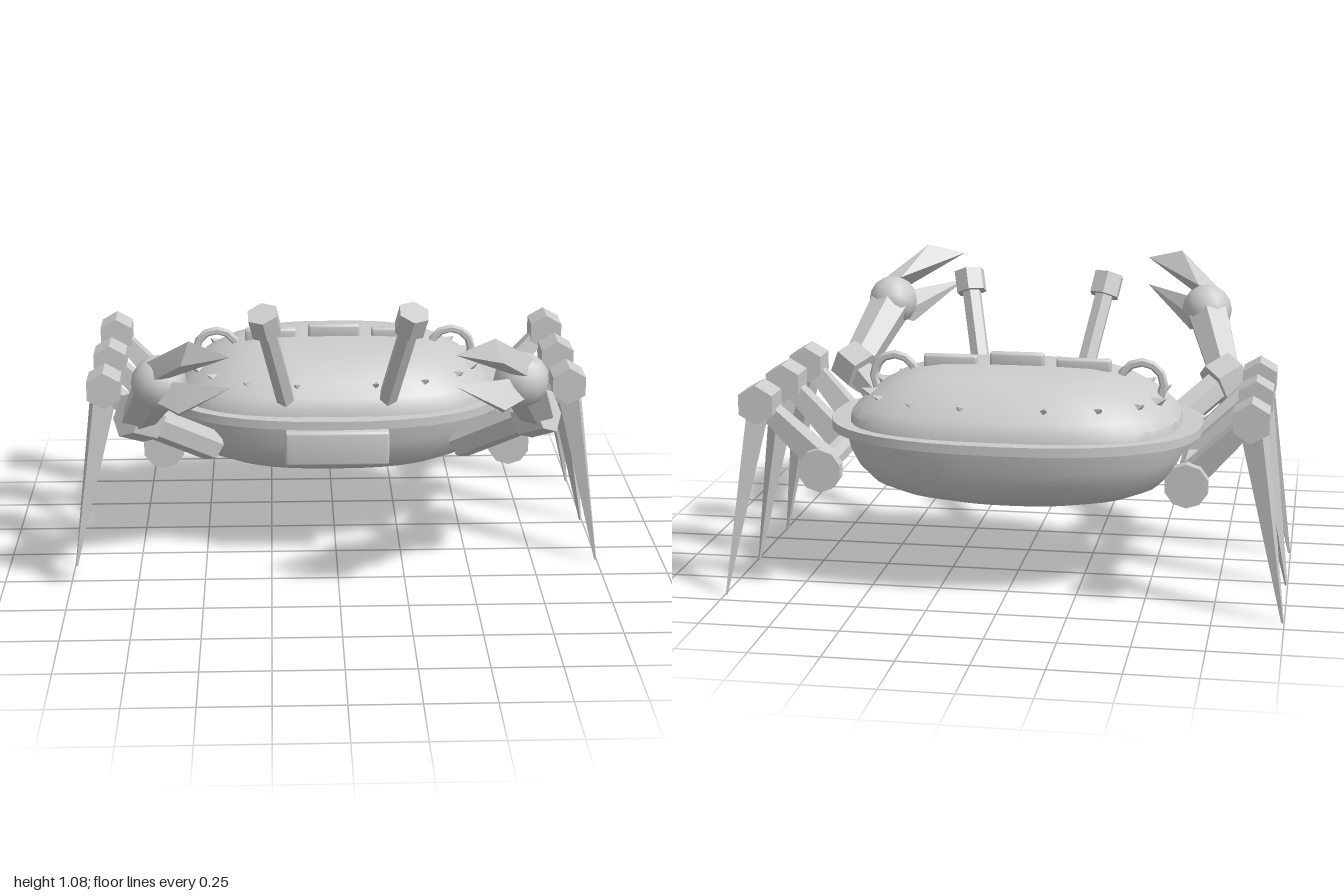
import * as THREE from 'three';
import { toCreasedNormals } from 'three/addons/utils/BufferGeometryUtils.js';
import { ConvexGeometry } from 'three/addons/geometries/ConvexGeometry.js';
import { RoundedBoxGeometry } from 'three/addons/geometries/RoundedBoxGeometry.js';

const V = (x, y, z) => new THREE.Vector3(x, y, z);
const CZ = -0.275; // z of the body's centre
const UP = V(0, 1, 0);

export function createModel() {
  const model = new THREE.Group();
  const grey = new THREE.MeshStandardMaterial({ color: 0xcccccc });
  grey.name = 'shellGrey';

  const add = (name, geo, crease = 0.5) => {
    const mesh = new THREE.Mesh(crease ? toCreasedNormals(geo, crease) : geo, grey);
    mesh.name = name;
    model.add(mesh);
    return mesh;
  };

  // Tapered prism from point a to point b
  const strut = (name, a, b, ra, rb, sides = 6, turn = 0) => {
    const d = b.clone().sub(a);
    const geo = new THREE.CylinderGeometry(rb, ra, d.length(), sides);
    geo.rotateY(turn);
    const mesh = add(name, geo);
    mesh.position.copy(a).add(b).multiplyScalar(0.5);
    mesh.quaternion.setFromUnitVectors(UP, d.normalize());
    return mesh;
  };

  // Stack of rounded-oval rings, each [half width, half depth, y], bottom to top
  const ovalLoft = (rings, power, seg = 40) => {
    const pos = [], idx = [];
    const bend = (v) => Math.sign(v) * Math.abs(v) ** (2 / power);
    rings.forEach(([w, d, y], j) => {
      for (let i = 0; i < seg; i++) {
        const t = (i / seg) * Math.PI * 2;
        pos.push(w * bend(Math.cos(t)), y, CZ + d * bend(Math.sin(t)));
        if (j === rings.length - 1) continue;
        const a = j * seg + i, b = j * seg + ((i + 1) % seg);
        idx.push(a, a + seg, b, b, a + seg, b + seg);
      }
    });
    const geo = new THREE.BufferGeometry();
    geo.setAttribute('position', new THREE.Float32BufferAttribute(pos, 3));
    geo.setIndex(idx);
    geo.computeVertexNormals();
    return geo;
  };

  // Body: lower hull, thin rim and domed shell
  add('hull', ovalLoft([[0, 0, 0.315], [0.31, 0.2, 0.315], [0.45, 0.28, 0.345], [0.53, 0.33, 0.378],
    [0.58, 0.365, 0.43], [0.61, 0.39, 0.49], [0.63, 0.405, 0.568]], 2.5), 0);
  add('rim', ovalLoft([[0.55, 0.35, 0.565], [0.68, 0.452, 0.565], [0.68, 0.452, 0.598], [0.55, 0.35, 0.598]], 2.35));
  const dome = [[1, 0.59], [0.99, 0.628], [0.94, 0.66], [0.85, 0.705], [0.72, 0.75], [0.6, 0.775],
    [0.45, 0.788], [0.25, 0.792], [0, 0.793]];
  add('domeShell', ovalLoft(dome.map(([f, y]) => [0.605 * f, 0.4 * f, y]), 2.8), 0.6);

  // Front plate
  add('frontPlate', new RoundedBoxGeometry(0.39, 0.135, 0.06, 2, 0.012)).position.set(0, 0.48, 0.125);

  // Ridge bars along the top
  [[0, 0.2, 0.81], [0.245, 0.2, 0.795], [-0.245, 0.2, 0.795]].forEach(([x, w, y]) =>
    add('ridgeBar', new RoundedBoxGeometry(w, 0.055, 0.036, 2, 0.01)).position.set(x, y, CZ));

  for (const s of [1, -1]) {
    const P = (x, y, z) => V(s * x, y, z);

    // Ring at each end of the ridge
    add('ridgeRing', new THREE.TorusGeometry(0.08, 0.016, 6, 12)).position.set(s * 0.455, 0.735, CZ);

    // Spikes around the dome
    for (const [x, z] of [[0.145, 0.33], [0.328, 0.295], [0.46, 0.21], [0.525, 0.105]]) {
      for (const f of [1, -1]) {
        const n = V(s * x * 1.1, 0.3, f * z * 1.4).normalize();
        const p = P(x, 0.695, CZ + f * z);
        strut('spike', p.clone().addScaledVector(n, -0.03), p.clone().addScaledVector(n, 0.035), 0.034, 0.001, 4);
      }
    }

    // Eye stalk and head
    const base = P(0.18, 0.6, 0.055), top = P(0.267, 1.01, 0.235);
    const axis = top.clone().sub(base).normalize();
    strut('eyeStalk', base, top, 0.037, 0.037);
    strut('eyeHead', top.clone().addScaledVector(axis, -0.05), top.clone().addScaledVector(axis, 0.035), 0.06, 0.06);

    // Hip rail with end discs
    strut('hipRail', P(0.648, 0.47, -0.63), P(0.648, 0.47, 0.06), 0.042, 0.042, 8, Math.PI / 8);
    for (const z of [-0.655, 0.042]) {
      strut('railDisc', P(0.65, 0.465, z), P(0.65, 0.465, z + 0.045), 0.078, 0.078, 10);
    }

    // Legs: hip z, knee z, foot z
    for (const [hip, knee, foot] of [[-0.02, 0.045, 0.115], [CZ, CZ, CZ], [-0.56, -0.62, -0.69]]) {
      strut('upperLeg', P(0.64, 0.46, hip), P(0.865, 0.7, knee), 0.062, 0.04, 4, Math.PI / 4);
      const joint = add('knee', new THREE.CylinderGeometry(0.071, 0.071, 0.122, 6).rotateY(Math.PI / 6).rotateX(Math.PI / 2));
      joint.position.set(s * 0.868, 0.702, knee);
      joint.rotation.z = Math.PI / 6;
      strut('lowerLeg', P(0.873, 0.69, knee), P(0.995, 0, foot), 0.056, 0.005, 4);
    }

    // Claw arm
    const elbow = P(0.73, 0.65, 0.24), wrist = P(0.635, 0.87, 0.5);
    const out = V(s * 0.75, 0.4, 0.52).normalize();
    strut('clawArm', P(0.47, 0.45, 0.02), elbow, 0.06, 0.06);
    strut('elbow', elbow.clone().addScaledVector(out, -0.06), elbow.clone().addScaledVector(out, 0.05), 0.088, 0.088);
    strut('forearm', elbow, wrist, 0.065, 0.088);
    add('wristBall', new THREE.SphereGeometry(0.098, 12, 8), 0).position.copy(wrist);
    add('upperPincer', new ConvexGeometry([P(0.38, 1.035, 0.722), P(0.52, 1.075, 0.667), P(0.55, 0.99, 0.68),
      P(0.68, 0.95, 0.52), P(0.6, 0.965, 0.5), P(0.6, 0.91, 0.57), P(0.67, 0.89, 0.56)]));
    add('lowerPincer', new ConvexGeometry([P(0.38, 0.925, 0.722), P(0.565, 0.772, 0.57), P(0.56, 0.82, 0.68),
      P(0.67, 0.83, 0.55), P(0.63, 0.8, 0.5), P(0.58, 0.9, 0.58)]));
  }
  return model;
}
